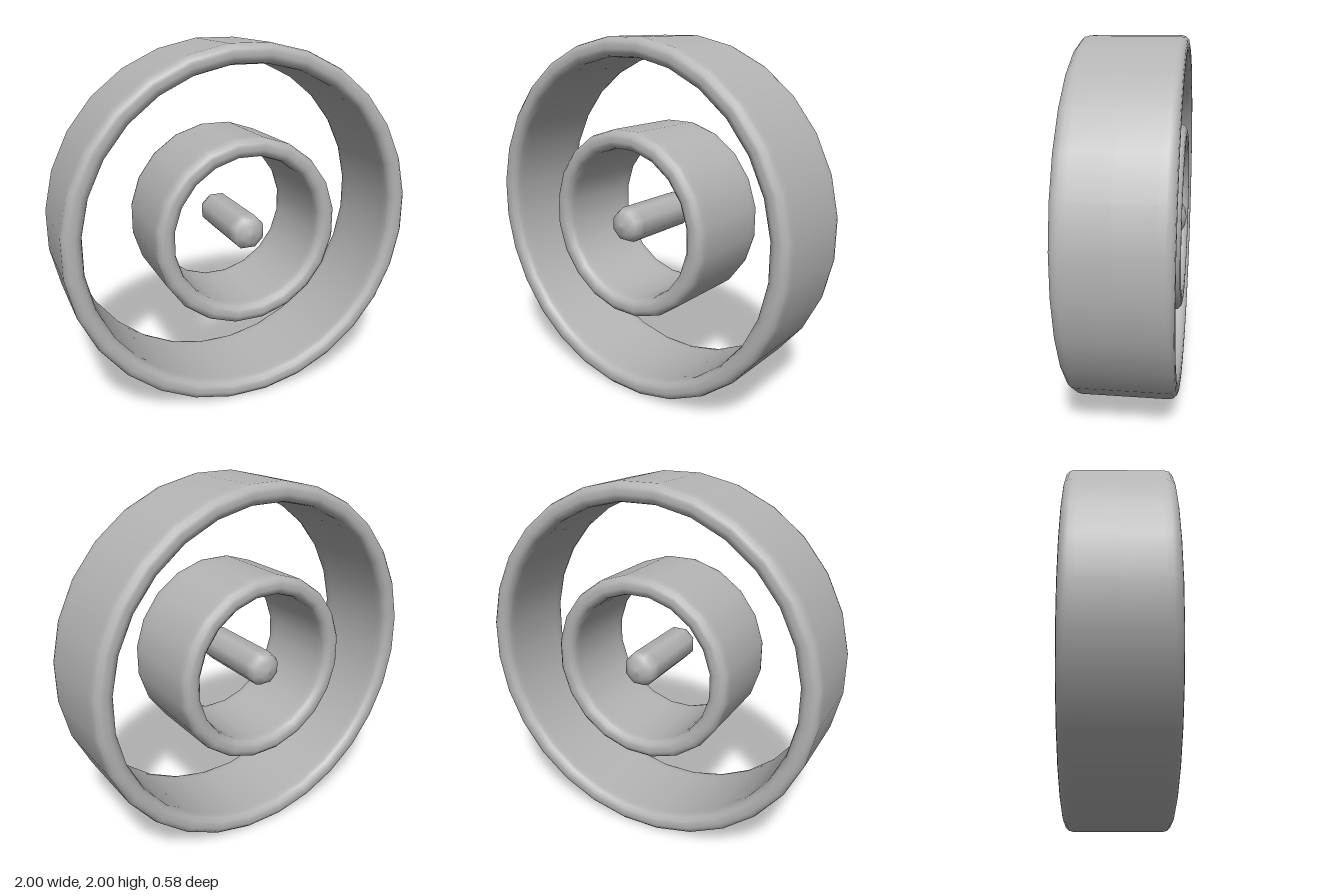
import * as THREE from 'three';

const HALF = 0.28; // half depth of the rings

export function createModel() {
  const group = new THREE.Group();
  const grey = new THREE.MeshStandardMaterial({ color: 0xb4b4b4 });
  grey.name = 'grey';

  // Revolve a profile of [radius, depth] pairs about the z axis, flats facing up and sideways
  function revolve(name, profile, sides) {
    const points = profile.map(([r, d]) => new THREE.Vector2(r, d));
    const geometry = new THREE.LatheGeometry(points, sides, Math.PI / sides);
    geometry.rotateX(Math.PI / 2);
    const mesh = new THREE.Mesh(geometry, grey);
    mesh.name = name;
    mesh.position.y = 1;
    group.add(mesh);
  }

  // Thick band with rounded rims
  function ring(name, inner, outer, sides) {
    const k = 1 / Math.cos(Math.PI / sides);
    const mid = (inner + outer) / 2;
    const half = (outer - inner) / 2;
    // Quarter of the rim, from the outer wall to the crest
    const rim = [[1, 0.2], [1, 0.235], [0.88, 0.259], [0.55, 0.276], [0.2, HALF]];
    const flip = (list, sr, sd) => list.map(([r, d]) => [r * sr, d * sd]);
    const loop = [
      [1, 0],
      ...rim,
      ...flip(rim, -1, 1).reverse(),
      ...flip(rim, -1, -1),
      ...flip(rim, 1, -1).reverse(),
      [1, 0],
    ];
    revolve(name, loop.map(([r, d]) => [(mid + r * half) * k, d]), sides);
  }

  ring('outerRing', 0.895, 1.0, 28);
  ring('innerRing', 0.418, 0.52, 20);

  // Central pin with blunt domed ends
  const end = [[0.1, 0.2], [0.1, 0.225], [0.085, 0.258], [0.05, 0.278], [0, 0.288]];
  const start = end.map(([r, d]) => [r, -d]).reverse();
  revolve('centralPin', [...start, ...end], 8);

  return group;
}
